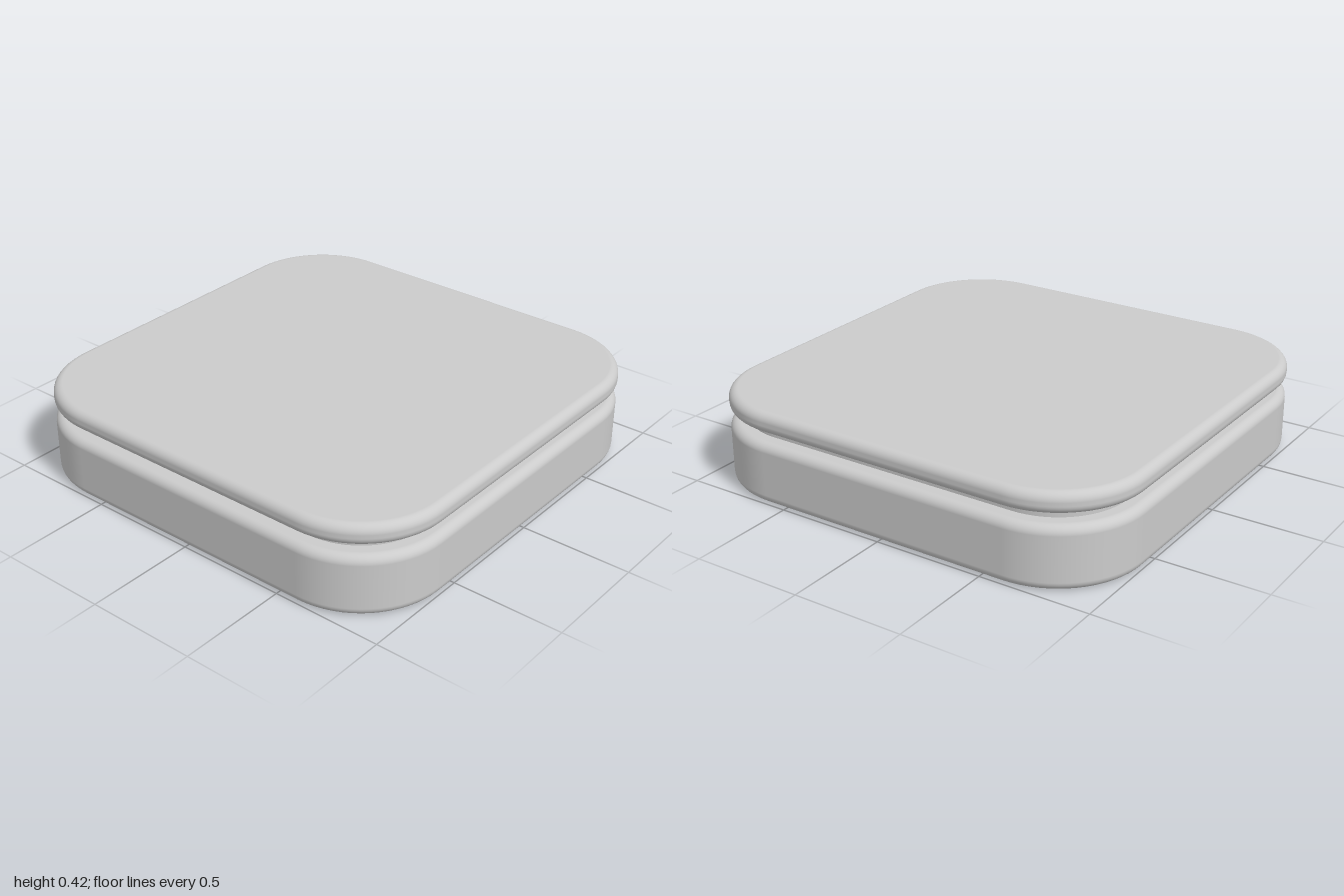
import * as THREE from 'three';

const CORNER_STEPS = 16;
const FILLET_STEPS = 8;

// Rounded-square outline: corner centre plus outward direction for each point
function outline(half, radius) {
  const c = half - radius, points = [];
  for (let q = 0; q < 4; q++) {
    const cx = q === 0 || q === 3 ? c : -c;
    const cz = q < 2 ? c : -c;
    for (let s = 0; s <= CORNER_STEPS; s++) {
      const a = (q + s / CORNER_STEPS) * Math.PI / 2;
      points.push({ cx, cz, dx: Math.cos(a), dz: Math.sin(a) });
    }
  }
  points.push(points[0]);
  return points;
}

// Rounded-square slab with filleted top and bottom edges and smooth normals
function slab(name, half, radius, y0, y1, fillet, material) {
  // Side profile from bottom to top: height, reach from corner centre, normal angle
  const rings = [];
  for (const [y, from] of [[y0 + fillet, -Math.PI / 2], [y1 - fillet, 0]]) {
    for (let s = 0; s <= FILLET_STEPS; s++) {
      const a = from + s / FILLET_STEPS * Math.PI / 2;
      rings.push({ y: y + fillet * Math.sin(a), reach: radius - fillet * (1 - Math.cos(a)), a });
    }
  }
  // Flat caps close to a centre point
  rings.unshift({ y: y0, pole: true, a: -Math.PI / 2 });
  rings.push({ y: y1, pole: true, a: Math.PI / 2 });

  const points = outline(half, radius);
  const positions = [], normals = [], index = [];
  for (const { y, reach, pole, a } of rings) {
    for (const { cx, cz, dx, dz } of points) {
      if (pole) positions.push(0, y, 0);
      else positions.push(cx + dx * reach, y, cz + dz * reach);
      normals.push(dx * Math.cos(a), Math.sin(a), dz * Math.cos(a));
    }
  }
  const n = points.length;
  for (let i = 0; i < rings.length - 1; i++) {
    for (let j = 0; j < n - 1; j++) {
      const p = i * n + j, up = p + n;
      if (!rings[i + 1].pole) index.push(p, up, up + 1);
      if (!rings[i].pole) index.push(p, up + 1, p + 1);
      if (rings[i + 1].pole) index.splice(-3, 3, p, up, p + 1);
    }
  }
  const geometry = new THREE.BufferGeometry();
  geometry.setAttribute('position', new THREE.Float32BufferAttribute(positions, 3));
  geometry.setAttribute('normal', new THREE.Float32BufferAttribute(normals, 3));
  geometry.setIndex(index);
  const mesh = new THREE.Mesh(geometry, material);
  mesh.name = name;
  return mesh;
}

export function createModel() {
  const group = new THREE.Group();
  group.name = 'roundedBox';
  const material = new THREE.MeshStandardMaterial({ color: 0xcccccc });
  group.add(
    slab('base', 1, 0.4, 0, 0.28, 0.04, material),
    // Recessed neck runs slightly into the base and lid
    slab('neck', 0.92, 0.32, 0.26, 0.345, 0.005, material),
    slab('lid', 1, 0.4, 0.325, 0.42, 0.04, material),
  );
  return group;
}
